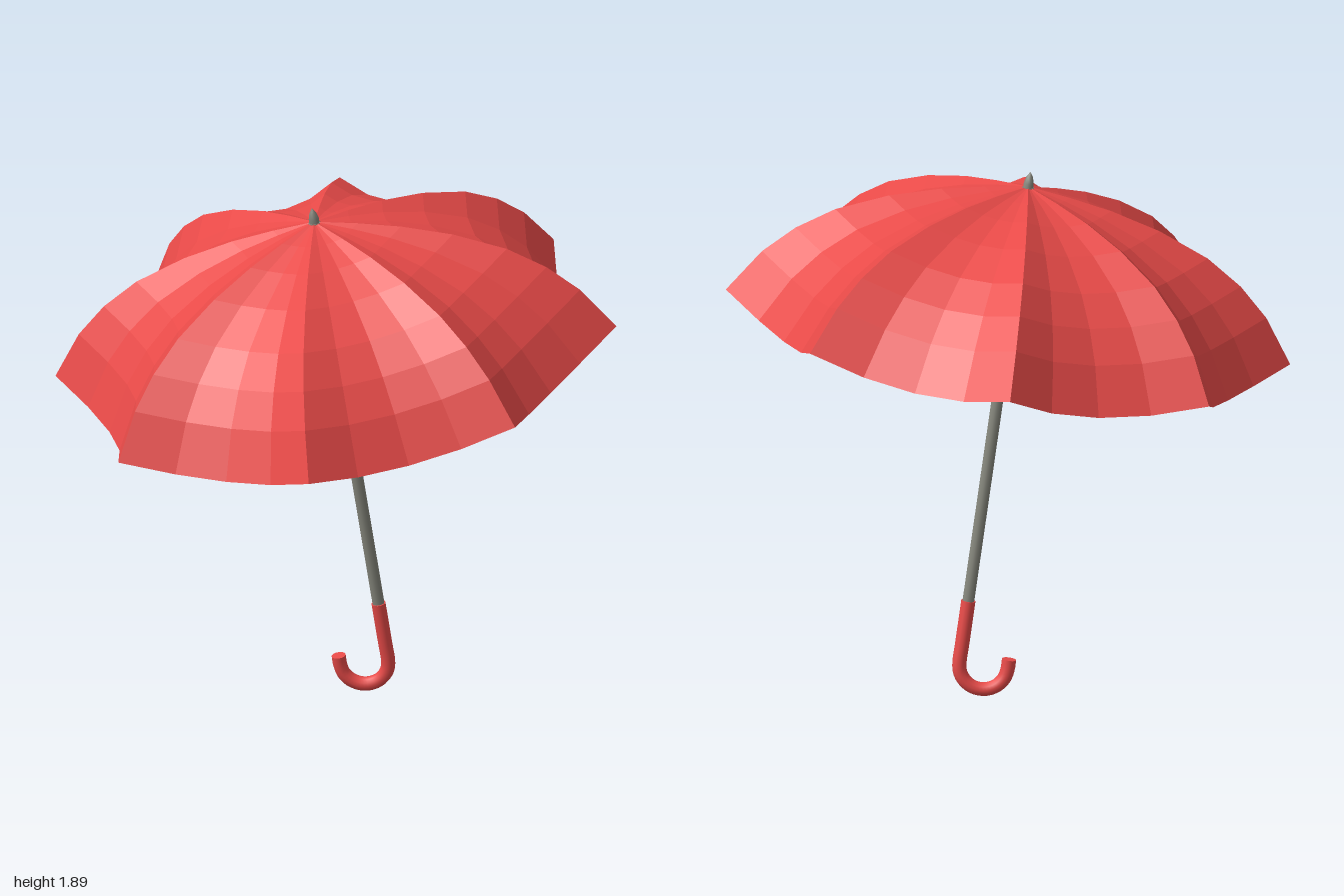
import * as THREE from 'three';

const red = new THREE.MeshStandardMaterial({ color: 0xe84a48 });
const cloth = new THREE.MeshStandardMaterial({ color: 0xe84a48, flatShading: true, side: THREE.DoubleSide });
const metal = new THREE.MeshStandardMaterial({ color: 0x85867c });

// Rib profile from crown to tip: [radius, height above the rim plane]
const RIB = [[0, 0.513], [0.15, 0.492], [0.3, 0.464], [0.477, 0.415], [0.657, 0.34], [0.785, 0.255], [0.889, 0.155], [0.995, 0]];
const GORES = 8, COLS = 4, SAG = 0.072;

function add(group, name, geometry, material) {
  const mesh = new THREE.Mesh(geometry, material);
  mesh.name = name;
  group.add(mesh);
  return mesh;
}

// Eight cloth panels stretched between the ribs, each sagging inward and down at its middle
function canopyGeometry() {
  const pos = [], index = [];
  const step = (Math.PI * 2) / GORES;
  for (let g = 0; g < GORES; g++) {
    const base = pos.length / 3;
    const a0 = g * step, a1 = a0 + step, mid = a0 + step / 2;
    for (const [r, h] of RIB) {
      for (let j = 0; j <= COLS; j++) {
        const s = j / COLS;
        const sag = SAG * 4 * s * (1 - s) * (r / 0.995);
        pos.push(
          r * THREE.MathUtils.lerp(Math.cos(a0), Math.cos(a1), s) - sag * Math.cos(mid),
          h - sag,
          r * THREE.MathUtils.lerp(Math.sin(a0), Math.sin(a1), s) - sag * Math.sin(mid)
        );
      }
    }
    for (let i = 0; i < RIB.length - 1; i++) {
      for (let j = 0; j < COLS; j++) {
        const a = base + i * (COLS + 1) + j, d = a + 1;
        const b = a + COLS + 1, c = b + 1;
        index.push(a, c, b);
        if (i > 0) index.push(a, d, c);
      }
    }
  }
  const geo = new THREE.BufferGeometry();
  geo.setAttribute('position', new THREE.Float32BufferAttribute(pos, 3));
  geo.setIndex(index);
  const flat = geo.toNonIndexed();
  flat.computeVertexNormals();
  return flat;
}

// Path of the hooked handle in its own plane: straight, half circle, short upturned end
function handlePath() {
  const R = 0.085, h = -1.226, pts = [];
  for (const y of [-1.0, -1.08, -1.16]) pts.push(new THREE.Vector3(0, y, 0));
  for (let i = 0; i <= 8; i++) {
    const a = (i / 8) * Math.PI;
    pts.push(new THREE.Vector3(R - R * Math.cos(a), h - R * Math.sin(a), 0));
  }
  pts.push(new THREE.Vector3(2 * R, h + 0.035, 0));
  return new THREE.CatmullRomCurve3(pts);
}

export function createModel() {
  const model = new THREE.Group();
  model.name = 'umbrella';

  // Everything shares one slightly leaning axis, with the rim plane at local height 0
  const tilted = new THREE.Group();
  tilted.name = 'tiltedUmbrella';
  tilted.position.set(0, 1.33, 0);
  tilted.quaternion.setFromUnitVectors(
    new THREE.Vector3(0, 1, 0),
    new THREE.Vector3(-0.1735, 1, -0.025).normalize()
  );
  model.add(tilted);

  add(tilted, 'canopy', canopyGeometry(), cloth);

  // Shaft from the handle to the crown
  const shaft = add(tilted, 'shaft', new THREE.CylinderGeometry(0.021, 0.021, 1.52, 12), metal);
  shaft.position.y = -0.25;

  // Pointed ferrule on the crown
  const ferrule = [[0.018, 0.5], [0.018, 0.525], [0.012, 0.548], [0, 0.566]];
  add(tilted, 'ferrule', new THREE.LatheGeometry(ferrule.map(([x, y]) => new THREE.Vector2(x, y)), 12), metal);

  // Hooked handle, turned so the hook points back and to the right
  const handle = new THREE.Group();
  handle.name = 'handle';
  handle.rotation.y = Math.PI * 0.75;
  const path = handlePath();
  add(handle, 'hook', new THREE.TubeGeometry(path, 40, 0.025, 12), red);
  [[0, -Math.PI / 2], [1, -Math.PI / 2]].forEach(([t, rx], i) => {
    const cap = add(handle, i ? 'hookEnd' : 'hookCollar', new THREE.CircleGeometry(0.025, 12), red);
    cap.position.copy(path.getPoint(t));
    cap.rotation.x = rx;
  });
  tilted.add(handle);

  return model;
}
